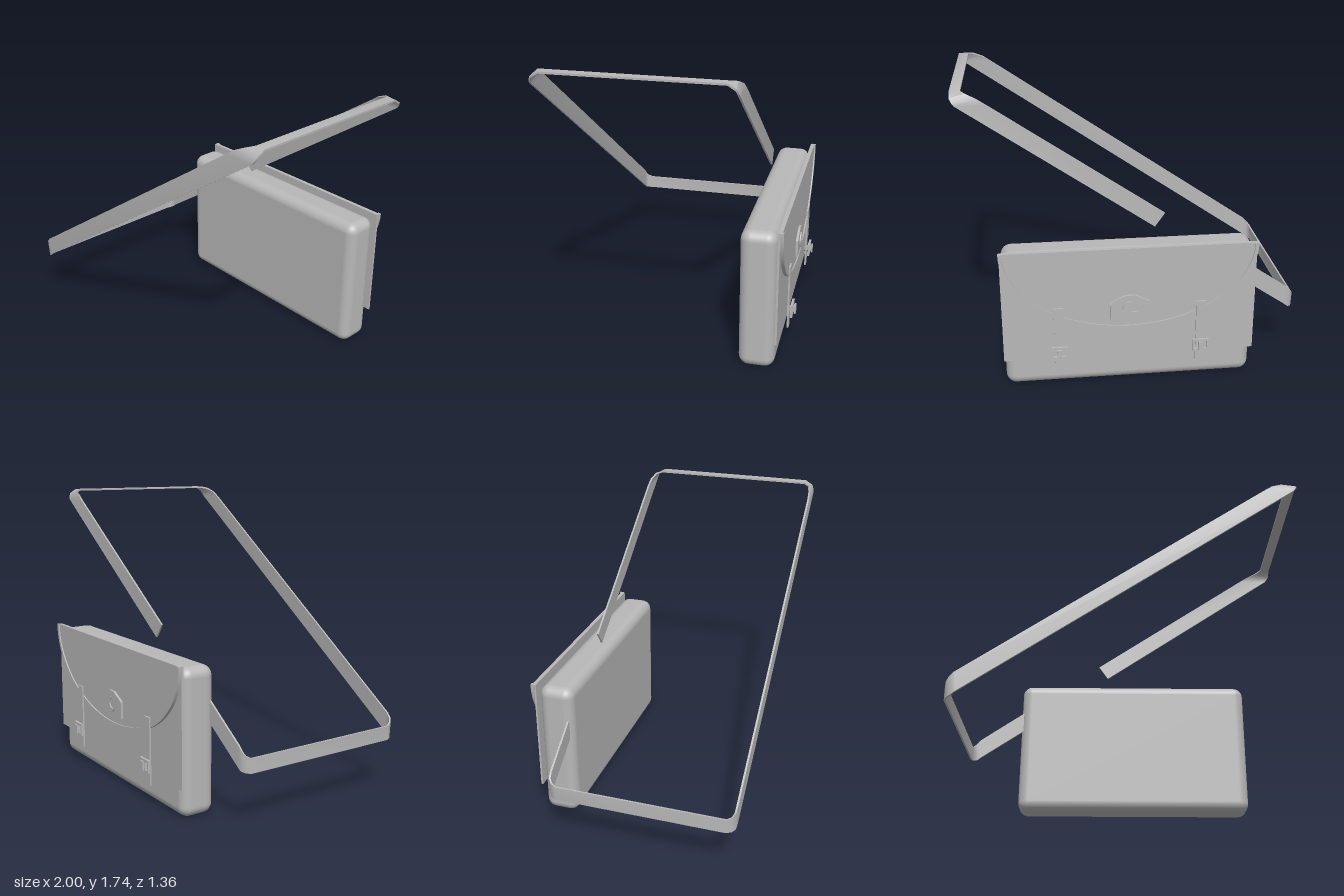
import * as THREE from 'three';
import { toCreasedNormals } from 'three/addons/utils/BufferGeometryUtils.js';
import { RoundedBoxGeometry } from 'three/addons/geometries/RoundedBoxGeometry.js';

const grey = new THREE.MeshStandardMaterial({ color: 0xb8b8b8 });
grey.name = 'plain grey';

function add(parent, name, geometry, x = 0, y = 0, z = 0) {
  const mesh = new THREE.Mesh(geometry, grey);
  mesh.name = name;
  mesh.position.set(x, y, z);
  parent.add(mesh);
  return mesh;
}

// flat part cut from a shape, smooth along its curved rim
function plate(shape, depth) {
  const g = new THREE.ExtrudeGeometry(shape, { depth, bevelEnabled: false, curveSegments: 40 });
  return toCreasedNormals(g, 0.5);
}

// Each corner station: upper edge (x, y, depth), lower edge (x, y, depth), turn from 0 (run) to 1 (end)
const LOW = [
  [-0.95, 0.467, 0.55, -0.94, 0.352, 0.55, 0],
  [-0.975, 0.44, 0.547, -0.965, 0.332, 0.547, 0.25],
  [-0.992, 0.42, 0.53, -0.987, 0.324, 0.53, 0.65],
  [-1, 0.405, 0.5, -1, 0.32, 0.5, 1],
];
const HIGH = [
  [0.8, 1.668, 0.55, 0.975, 1.668, 0.55, 0],
  [0.85, 1.703, 0.545, 0.987, 1.684, 0.548, 0.25],
  [0.91, 1.73, 0.527, 1, 1.712, 0.535, 0.65],
  [0.94, 1.738, 0.49, 1, 1.738, 0.49, 1],
];

// thin band looping through four folded corners
function strapGeometry() {
  const thick = 0.011, zMid = 0.125;
  const station = (s, p, endNormal) => {
    const n = new THREE.Vector3(0, 0, -s).lerp(endNormal, p[6]).normalize().multiplyScalar(thick);
    const a = new THREE.Vector3(p[0], p[1], zMid + s * p[2]);
    const b = new THREE.Vector3(p[3], p[4], zMid + s * p[5]);
    return [a, b, b.clone().add(n), a.clone().add(n)];
  };
  const inward = new THREE.Vector3(1, 0, 0), down = new THREE.Vector3(0, -1, 0);
  const rings = [
    station(-1, [-0.62, 0.695, 0.55, -0.562, 0.61, 0.55, 0], inward),
    ...LOW.map((p) => station(-1, p, inward)),
    ...[...LOW].reverse().map((p) => station(1, p, inward)),
    ...HIGH.map((p) => station(1, p, down)),
    ...[...HIGH].reverse().map((p) => station(-1, p, down)),
    station(-1, [-0.188, 0.993, 0.55, -0.13, 0.91, 0.55, 0], down),
  ];
  const points = [];
  const quad = (a, b, c, d) => points.push(a, b, c, a, c, d);
  for (let i = 0; i < rings.length - 1; i++) {
    const r = rings[i], q = rings[i + 1];
    for (let k = 0; k < 4; k++) {
      const m = (k + 1) % 4;
      quad(r[k], r[m], q[m], q[k]);
    }
  }
  const first = rings[0], last = rings[rings.length - 1];
  quad(first[0], first[3], first[2], first[1]);
  quad(...last);
  return toCreasedNormals(new THREE.BufferGeometry().setFromPoints(points), 0.7);
}

// frame, stem and prong of one buckle
function addBuckle(parent, x) {
  const buckle = new THREE.Group();
  buckle.name = 'buckle';
  buckle.position.set(x, 0.24, 0);
  parent.add(buckle);
  const frame = new THREE.Shape();
  frame.moveTo(-0.048, -0.038).lineTo(0.048, -0.038).lineTo(0.048, 0.038).lineTo(-0.048, 0.038);
  for (const s of [-1, 1]) {
    const x0 = s < 0 ? -0.036 : 0.012, hole = new THREE.Path();
    hole.moveTo(x0, -0.024).lineTo(x0, 0.024).lineTo(x0 + 0.024, 0.024).lineTo(x0 + 0.024, -0.024);
    frame.holes.push(hole);
  }
  add(buckle, 'buckleFrame', plate(frame, 0.014), 0, 0, 0.047);
  add(buckle, 'buckleStem', new THREE.BoxGeometry(0.02, 0.03, 0.045), 0, 0, 0.047);
  add(buckle, 'buckleProng', new THREE.BoxGeometry(0.03, 0.055, 0.009), 0, 0, 0.072);
}

export function createModel() {
  const model = new THREE.Group();
  model.name = 'shoulderBag';

  add(model, 'bagBody', new RoundedBoxGeometry(1.46, 0.85, 0.21, 6, 0.06), 0.04, 0.425, -0.495);
  add(model, 'shoulderStrap', strapGeometry());

  // closing side, built facing +z and turned to the back
  const cover = new THREE.Group();
  cover.name = 'cover';
  cover.position.set(0.04, 0, -0.604);
  cover.rotation.y = Math.PI;
  model.add(cover);

  add(cover, 'coverPanel', new THREE.BoxGeometry(1.476, 0.69, 0.012), 0, 0.525, 0.006);

  const flap = new THREE.Shape();
  flap.absellipse(0, 0.87, 0.735, 0.5, Math.PI, Math.PI * 2, false);
  add(cover, 'flap', plate(flap, 0.012), 0, 0, 0.012);

  const trim = new THREE.Shape();
  trim.absellipse(0, 0.87, 0.742, 0.508, Math.PI, Math.PI * 2, false);
  trim.lineTo(0.722, 0.87);
  trim.absellipse(0, 0.87, 0.722, 0.486, Math.PI * 2, Math.PI, true);
  add(cover, 'flapTrim', plate(trim, 0.022), 0, 0, 0.01);

  for (const x of [-0.415, 0.415]) {
    add(cover, 'closingStrap', new THREE.BoxGeometry(0.055, 0.4, 0.01), x, 0.32, 0.033);
    addBuckle(cover, x);
  }

  // pentagonal clasp with a raised crescent
  const clasp = new THREE.Shape();
  clasp.moveTo(-0.117, 0.43).lineTo(0.117, 0.43).lineTo(0.117, 0.535).lineTo(0.03, 0.58);
  clasp.lineTo(-0.03, 0.58).lineTo(-0.117, 0.535);
  add(cover, 'clasp', plate(clasp, 0.014), 0, 0, 0.024);

  const crescent = new THREE.Shape();
  crescent.absarc(0, 0, 0.046, 1.4, 5.9, false);
  crescent.quadraticCurveTo(-0.035, -0.03, 0.046 * Math.cos(1.4), 0.046 * Math.sin(1.4));
  add(cover, 'crescent', plate(crescent, 0.008), 0, 0.497, 0.038);

  return model;
}
